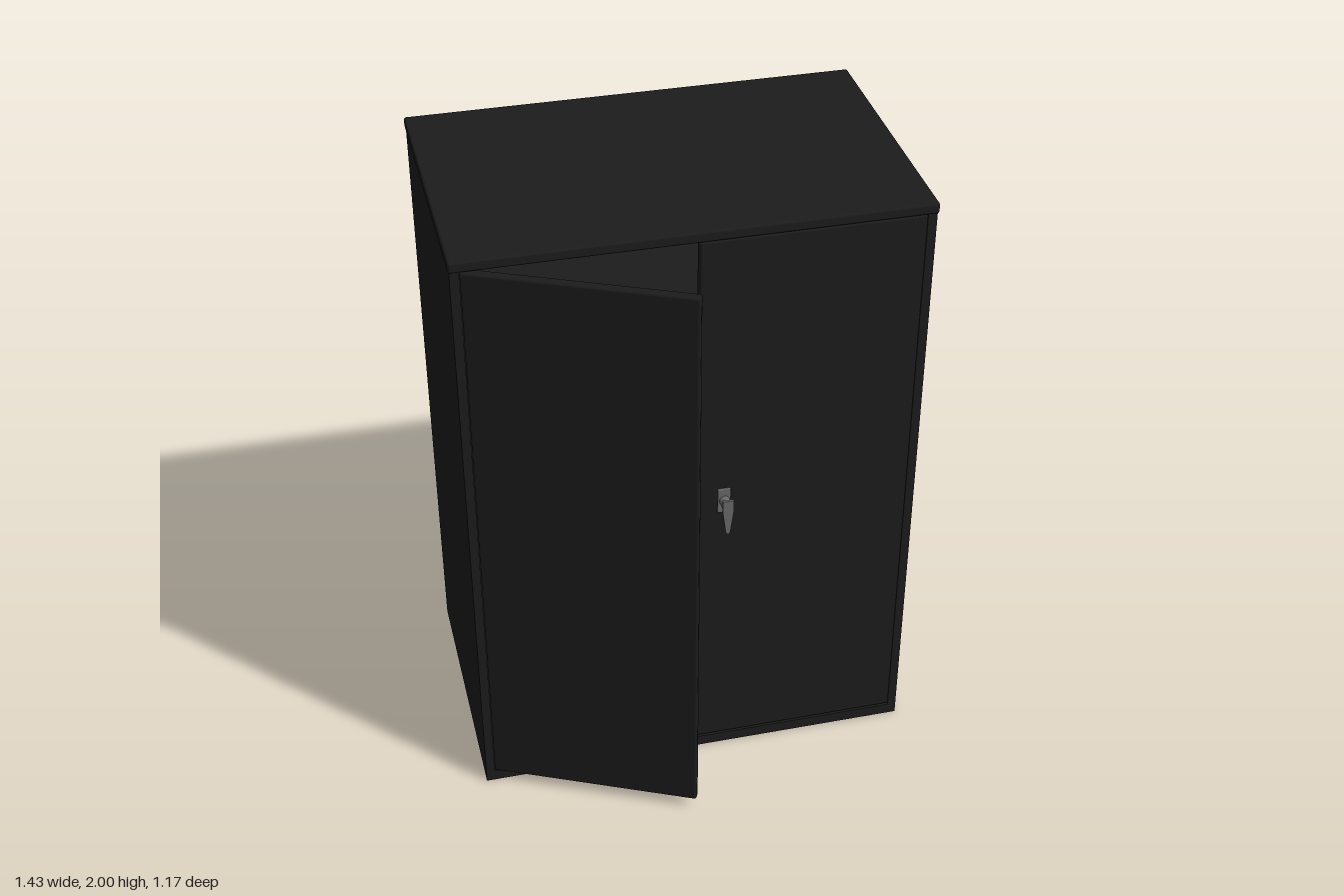
import * as THREE from 'three';
import { RoundedBoxGeometry } from 'three/addons/geometries/RoundedBoxGeometry.js';

const dark = new THREE.MeshStandardMaterial({ color: 0x1c1c1c });
const metal = new THREE.MeshStandardMaterial({ color: 0x6a6a6a });

function add(parent, name, geometry, material, x = 0, y = 0, z = 0) {
  const mesh = new THREE.Mesh(geometry, material);
  mesh.name = name;
  mesh.position.set(x, y, z);
  parent.add(mesh);
  return mesh;
}

// Box given by its lower and upper corners; a radius rounds its edges
function panel(parent, name, [x0, y0, z0], [x1, y1, z1], radius = 0) {
  const size = [x1 - x0, y1 - y0, z1 - z0];
  const geometry = radius ? new RoundedBoxGeometry(...size, 2, radius) : new THREE.BoxGeometry(...size);
  return add(parent, name, geometry, dark, (x0 + x1) / 2, (y0 + y1) / 2, (z0 + z1) / 2);
}

const W = 0.71, BACK = -0.585, FRONT = 0.3, WALL = 0.028;
const DOOR_W = 0.68, DOOR_LOW = 0.042, DOOR_HIGH = 1.962, DOOR_T = 0.03;

function makeHandle() {
  const handle = new THREE.Group();
  handle.name = 'handle';
  // Back plate and spindle
  add(handle, 'handlePlate', new RoundedBoxGeometry(0.042, 0.09, 0.008, 2, 0.003), metal, 0, 0.01, 0.004);
  const spindle = add(handle, 'handleSpindle', new THREE.CylinderGeometry(0.014, 0.017, 0.05, 20), metal, 0, 0.012, 0.03);
  spindle.rotation.x = Math.PI / 2;
  // Lever tapering downwards
  const lever = new THREE.Shape();
  lever.moveTo(-0.017, 0.045);
  lever.lineTo(-0.017, 0);
  lever.lineTo(-0.007, -0.075);
  lever.quadraticCurveTo(0, -0.09, 0.007, -0.075);
  lever.lineTo(0.017, 0);
  lever.lineTo(0.017, 0.045);
  lever.closePath();
  add(handle, 'handleLever', new THREE.ExtrudeGeometry(lever, { depth: 0.008, bevelEnabled: false }), metal, 0, 0, 0.05);
  return handle;
}

export function createModel() {
  const cabinet = new THREE.Group();
  cabinet.name = 'cabinet';

  // Hollow carcass
  for (const s of [-1, 1]) {
    const x = s * (W - WALL / 2);
    panel(cabinet, s < 0 ? 'rightWall' : 'leftWall',
      [x - WALL / 2, 0, BACK], [x + WALL / 2, 1.97, FRONT]);
  }
  panel(cabinet, 'backWall', [-W + WALL, 0, BACK], [W - WALL, 1.97, BACK + 0.02]);
  panel(cabinet, 'floor', [-W + WALL, 0, BACK + 0.02], [W - WALL, 0.038, FRONT]);
  panel(cabinet, 'lid', [-W - 0.004, 1.965, BACK - 0.005], [W + 0.004, 2, FRONT + 0.008], 0.008);

  // Shelves
  for (const y of [0.4, 0.96, 1.585]) {
    panel(cabinet, 'shelf', [-W + WALL, y - 0.013, BACK + 0.02], [W - WALL, y + 0.013, FRONT - 0.06]);
  }

  // Doors, each hinged on its outer front edge; the right one stands ajar
  for (const s of [-1, 1]) {
    const door = new THREE.Group();
    door.name = s < 0 ? 'rightDoor' : 'leftDoor';
    door.position.set(s * (DOOR_W + 0.003), 0, FRONT);
    const inner = -s * DOOR_W;
    panel(door, 'doorLeaf', [Math.min(0, inner), DOOR_LOW, -DOOR_T], [Math.max(0, inner), DOOR_HIGH, 0], 0.008);
    if (s < 0) {
      door.rotation.y = -THREE.MathUtils.degToRad(25);
    } else {
      const handle = makeHandle();
      handle.position.set(0.086 - door.position.x, 1.025, 0);
      door.add(handle);
    }
    cabinet.add(door);
  }
  return cabinet;
}
